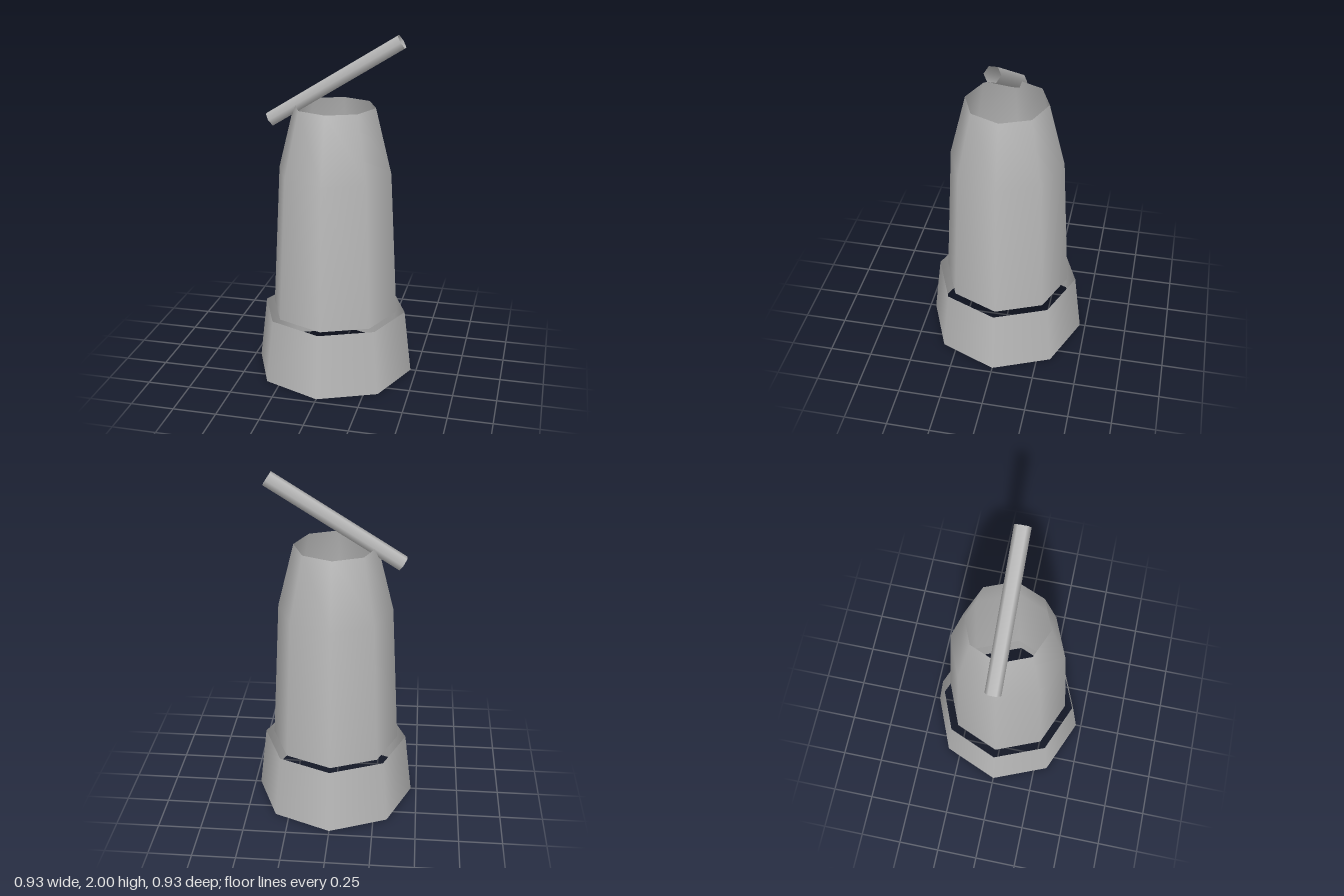
import * as THREE from 'three';

export function createModel() {
  const model = new THREE.Group();
  model.name = 'model';
  const grey = new THREE.MeshStandardMaterial({ color: 0xb8b8b8, side: THREE.DoubleSide });
  grey.name = 'plain grey';

  const add = (name, geometry) => {
    const mesh = new THREE.Mesh(geometry, grey);
    mesh.name = name;
    model.add(mesh);
    return mesh;
  };

  // Open eight-sided skirt on the ground
  const base = add('baseRing', new THREE.CylinderGeometry(0.423, 0.467, 0.375, 8, 1, true));
  base.position.y = 0.1875;

  // Open tapering shell with a steeper shoulder
  const profile = [[0.373, 0.375], [0.328, 1.22], [0.235, 1.595]];
  add('body', new THREE.LatheGeometry(profile.map(([r, y]) => new THREE.Vector2(r, y)), 8));

  // Slanted hollow six-sided bar across the top opening
  const low = new THREE.Vector2(-0.376, 1.5);
  const high = new THREE.Vector2(0.372, 1.968);
  const span = high.clone().sub(low);
  const bar = add('slantedBar', new THREE.CylinderGeometry(0.045, 0.045, span.length(), 6, 1, true));
  bar.position.set((low.x + high.x) / 2, (low.y + high.y) / 2, 0);
  bar.rotation.z = -Math.atan2(span.x, span.y);

  return model;
}
